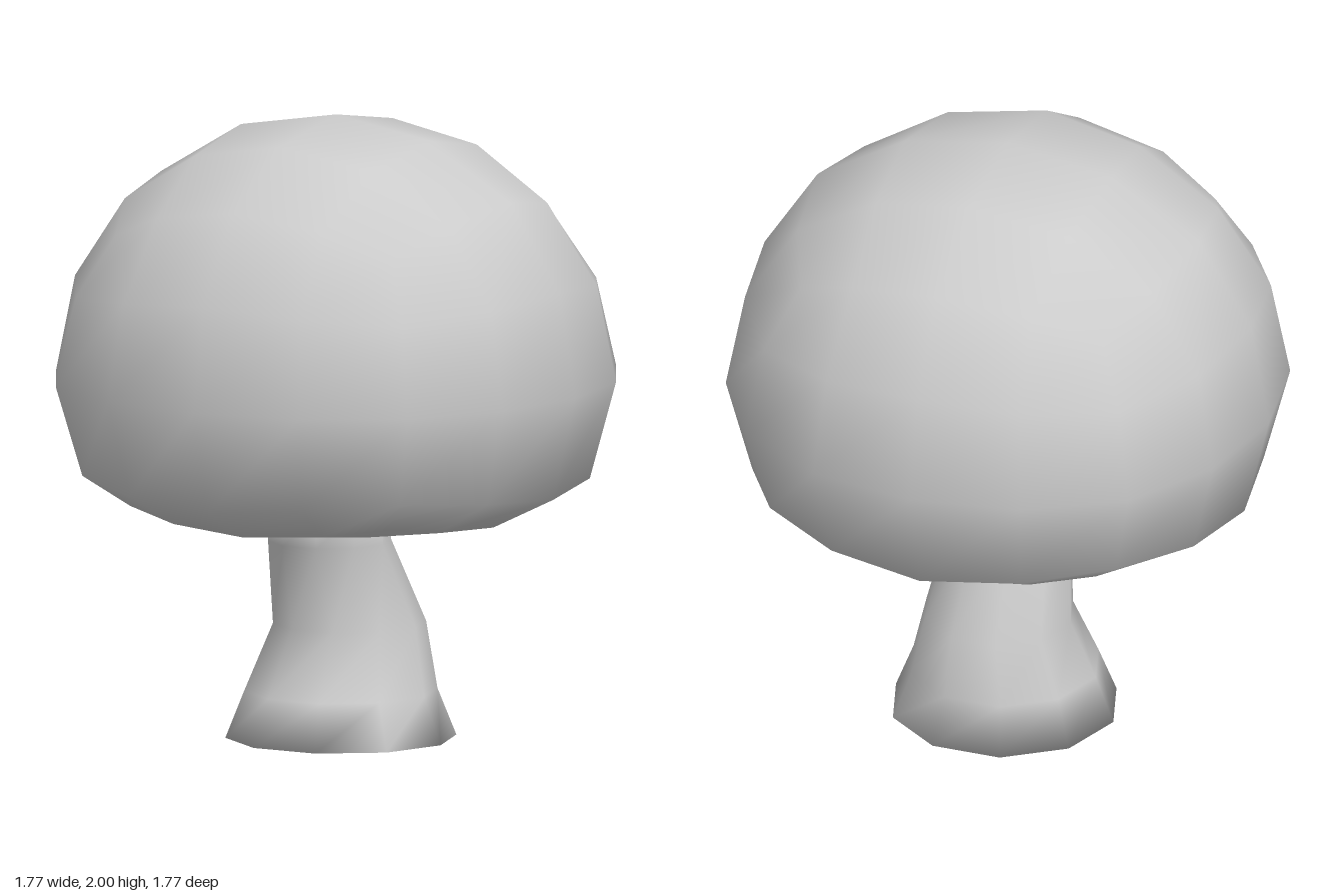
import * as THREE from 'three';
import { mergeVertices } from 'three/addons/utils/BufferGeometryUtils.js';

const material = new THREE.MeshStandardMaterial({ color: 0xcccccc });

// Rounded-cube positions for each kind of grid point (sorted cube coordinates)
const ROUNDED = {
  200: [0.879, 0, 0],
  210: [0.82, 0.35, 0],
  211: [0.764, 0.326, 0.326],
  220: [0.645, 0.645, 0],
  221: [0.599, 0.599, 0.302],
  222: [0.509, 0.509, 0.509],
};

// Flattening of the cap: [rounded y, final y, horizontal scale]
const FLATTEN = [
  [-0.879, 0.7, 1], [-0.82, 0.704, 0.98], [-0.645, 0.72, 0.9], [-0.35, 0.826, 0.976],
  [0, 1.159, 1.005], [0.35, 1.49, 1.005], [0.645, 1.767, 1], [0.879, 2, 1],
];

function flatten(y) {
  let i = 0;
  while (i < FLATTEN.length - 2 && y > FLATTEN[i + 1][0]) i++;
  const [a, b] = [FLATTEN[i], FLATTEN[i + 1]];
  const t = (y - a[0]) / (b[0] - a[0]);
  return [1, 2].map((k) => THREE.MathUtils.lerp(a[k], b[k], t));
}

function smoothWeld(geometry) {
  geometry.deleteAttribute('normal');
  geometry.deleteAttribute('uv');
  const welded = mergeVertices(geometry, 1e-4);
  welded.computeVertexNormals();
  return welded;
}

// Cap: a rounded cube with its underside pressed flat
function capGeometry() {
  const geometry = new THREE.BoxGeometry(4, 4, 4, 4, 4, 4);
  const pos = geometry.attributes.position;
  for (let i = 0; i < pos.count; i++) {
    const p = [pos.getX(i), pos.getY(i), pos.getZ(i)].map(Math.round);
    const axes = [0, 1, 2].sort((a, b) => Math.abs(p[b]) - Math.abs(p[a]));
    const values = ROUNDED[axes.map((a) => Math.abs(p[a])).join('')];
    const q = [0, 0, 0];
    axes.forEach((a, k) => { q[a] = Math.sign(p[a]) * values[k]; });
    const [y, s] = flatten(q[1]);
    pos.setXYZ(i, q[0] * s, y, q[2] * s);
  }
  return smoothWeld(geometry);
}

// Stem: ten-sided rings [y, radius, z centre], bent back and then forward
function stemGeometry() {
  const rings = [
    [0, 0.368, -0.03], [0.15, 0.308, -0.03], [0.36, 0.244, -0.084],
    [0.64, 0.196, 0.04], [0.74, 0.193, 0.04],
  ];
  const sides = 10, points = [], index = [];
  for (const [y, r, z] of rings) {
    for (let i = 0; i < sides; i++) {
      const a = (i / sides) * Math.PI * 2;
      points.push(new THREE.Vector3(r * Math.cos(a), y, z + r * Math.sin(a)));
    }
  }
  for (let k = 0; k < rings.length - 1; k++) {
    for (let i = 0; i < sides; i++) {
      const a = k * sides + i, b = k * sides + (i + 1) % sides;
      index.push(a, a + sides, b, b, a + sides, b + sides);
    }
  }
  // End faces
  const top = (rings.length - 1) * sides;
  for (let i = 1; i < sides - 1; i++) {
    index.push(0, i, i + 1, top, top + i + 1, top + i);
  }
  const geometry = new THREE.BufferGeometry().setFromPoints(points);
  geometry.setIndex(index);
  geometry.computeVertexNormals();
  return geometry;
}

export function createModel() {
  const group = new THREE.Group();
  group.name = 'mushroom';
  for (const [name, geometry] of [['cap', capGeometry()], ['stem', stemGeometry()]]) {
    const mesh = new THREE.Mesh(geometry, material);
    mesh.name = name;
    group.add(mesh);
  }
  return group;
}
